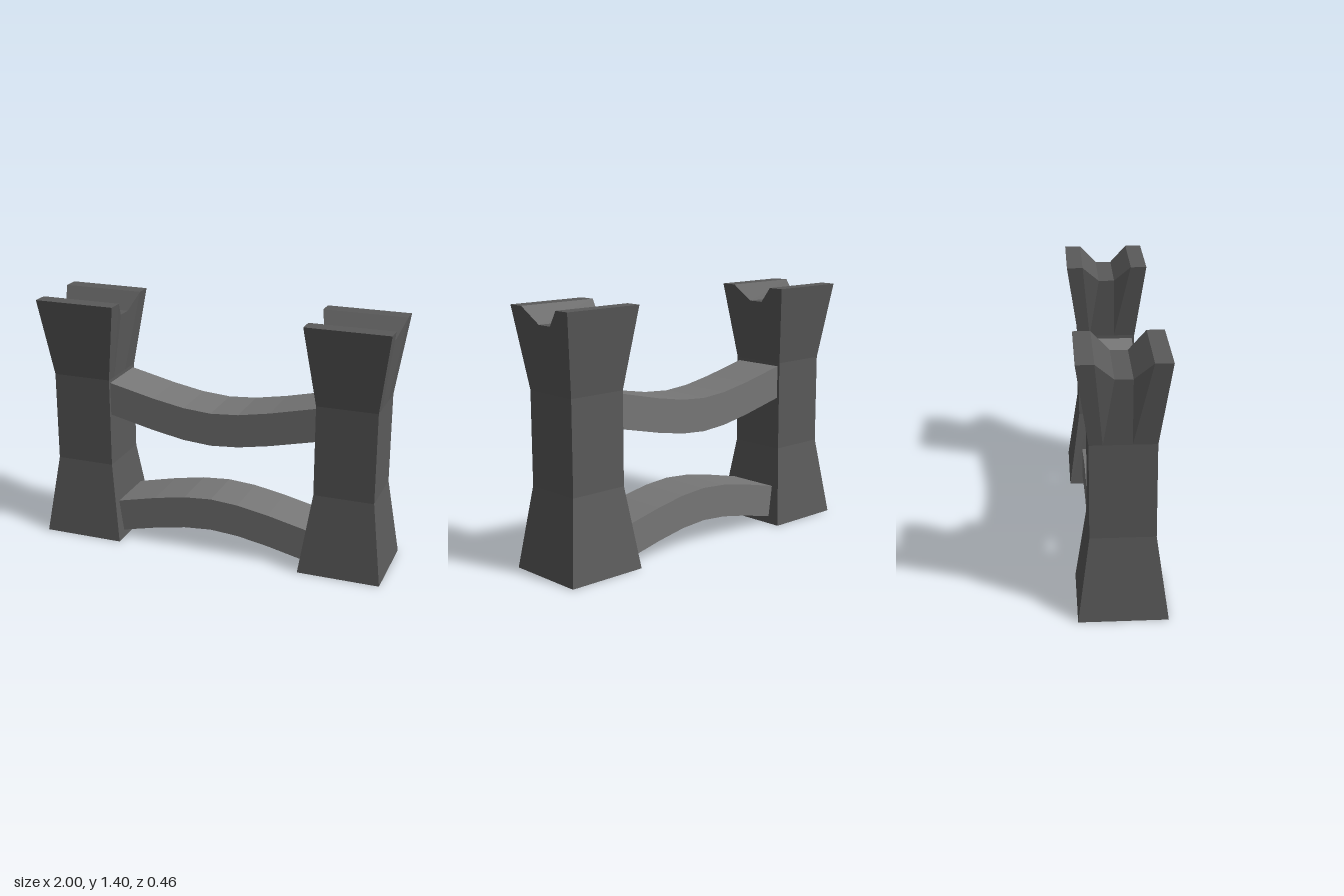
import * as THREE from 'three';

const postMaterial = new THREE.MeshStandardMaterial({ color: 0x5a5a5a, flatShading: true });
const railMaterial = new THREE.MeshStandardMaterial({ color: 0x777777, flatShading: true });

// Waisted post: a segmented box whose rows are flared and whose top is notched
function postGeometry() {
  const heights = [0, 0.45, 0.96, 1.4];
  const halfX = [0.231, 0.168, 0.168, 0.231];
  const wideZ = [-0.231, -0.14, -0.045, 0.045, 0.14, 0.231];
  const waistZ = [-0.168, -0.1, -0.045, 0.045, 0.1, 0.168];
  const geometry = new THREE.BoxGeometry(1, 1, 1, 1, 3, 5);
  const p = geometry.attributes.position;
  for (let i = 0; i < p.count; i++) {
    const row = Math.round((p.getY(i) + 0.5) * 3);
    const col = Math.round((p.getZ(i) + 0.5) * 5);
    const inNotch = row === 3 && (col === 2 || col === 3);
    const x = Math.sign(p.getX(i)) * (inNotch ? 0.195 : halfX[row]);
    const z = (row === 0 || row === 3 ? wideZ : waistZ)[col];
    p.setXYZ(i, x, inNotch ? 1.31 : heights[row], z);
  }
  const flat = geometry.toNonIndexed();
  flat.computeVertexNormals();
  return flat;
}

// Curved rail of constant depth; sign +1 sags in the middle, -1 arches
function railGeometry(middleY, sign) {
  const right = [[0, 0], [0.16, 0.012], [0.34, 0.045], [0.62, 0.11]];
  const left = right.slice(1).reverse().map(([x, y]) => [-x, y]);
  const line = [...left, ...right];
  const edge = (offset) => line.map(([x, y]) => new THREE.Vector2(x, middleY + sign * y + offset));
  const shape = new THREE.Shape([...edge(-0.094), ...edge(0.094).reverse()]);
  const geometry = new THREE.ExtrudeGeometry(shape, { depth: 0.306, bevelEnabled: false });
  return geometry.translate(0, 0, -0.153);
}

export function createModel() {
  const group = new THREE.Group();
  const add = (name, geometry, material, x = 0) => {
    const mesh = new THREE.Mesh(geometry, material);
    mesh.name = name;
    mesh.position.x = x;
    group.add(mesh);
  };

  // Two notched posts
  const post = postGeometry();
  add('leftPost', post, postMaterial, 0.769);
  add('rightPost', post, postMaterial, -0.769);

  // Two curved rails between them
  add('upperRail', railGeometry(0.741, 1), railMaterial);
  add('lowerRail', railGeometry(0.227, -1), railMaterial);
  return group;
}
